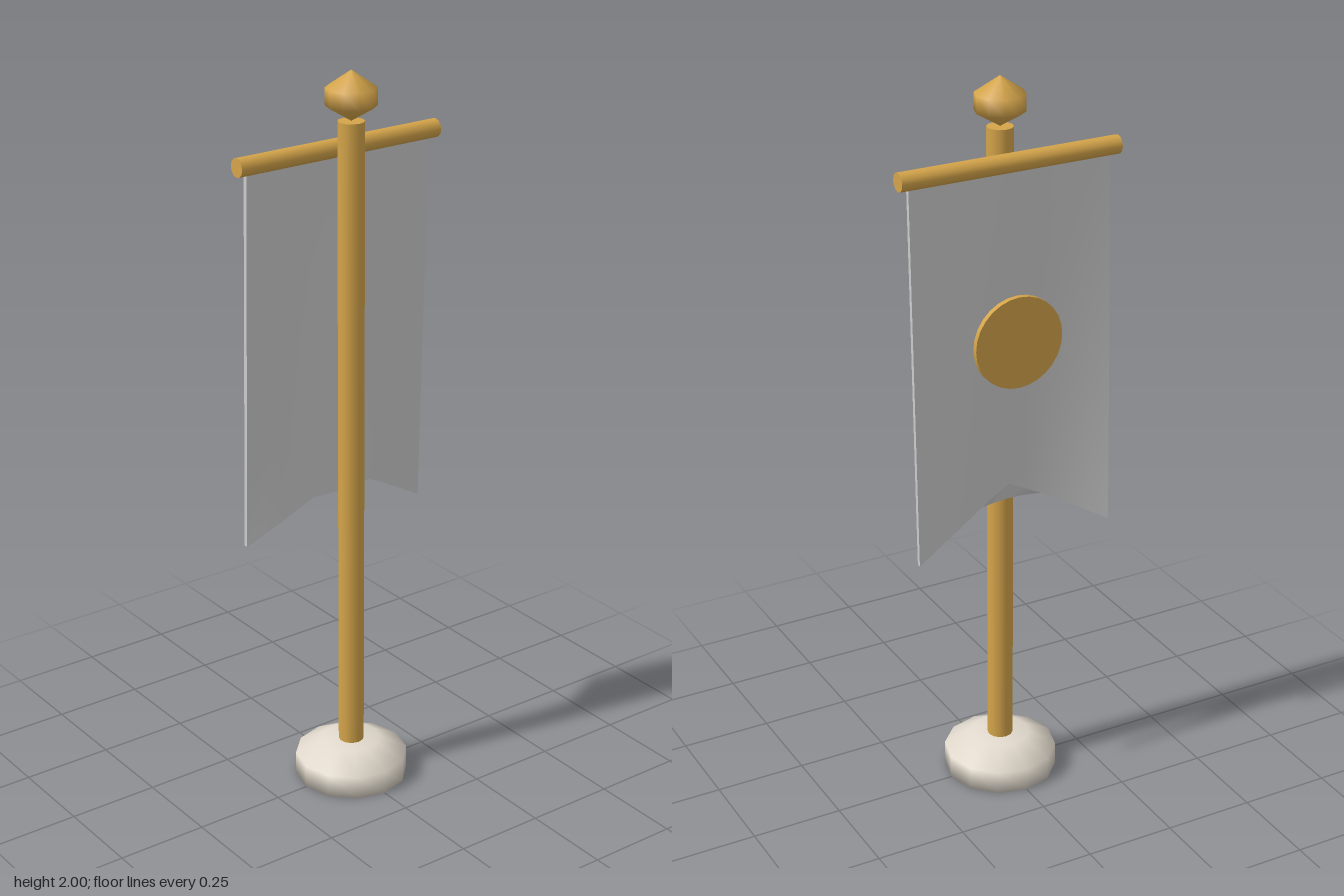
import * as THREE from 'three';

const gold = new THREE.MeshStandardMaterial({ color: 0xd4a44a });
const stone = new THREE.MeshStandardMaterial({ color: 0xe2dacd });
const grey = new THREE.MeshStandardMaterial({ color: 0xcccccc, side: THREE.DoubleSide });

function lathe(profile, sides) {
  return new THREE.LatheGeometry(profile.map(([r, y]) => new THREE.Vector2(r, y)), sides);
}

// Thin cloth slab: swallow-tail hem, corners drifting back, middle resting on the pole
function clothGeometry() {
  const half = 0.285, top = 1.79;
  const geo = new THREE.BoxGeometry(2 * half, 1, 0.012, 12, 10, 1);
  const p = geo.attributes.position;
  for (let i = 0; i < p.count; i++) {
    const x = p.getX(i), a = Math.abs(x), t = 0.5 - p.getY(i), back = p.getZ(i) < 0;
    let hem = 0.85 - 0.105 * Math.max(0, (a - 0.1) / (half - 0.1));
    if (back) hem += 0.05 * Math.max(0, 1 - a / 0.1);
    const e = (a / half) ** 2;
    const bulge = x > 0 ? 0.012 * Math.sin(Math.PI * a / half) : 0;
    const z = -0.053 - t * (0.029 * e + bulge) + t * t * 0.012 * (1 - e);
    p.setXYZ(i, x, top + (hem - top) * t, z + p.getZ(i));
  }
  geo.computeVertexNormals();
  return geo;
}

export function createModel() {
  const model = new THREE.Group();
  const add = (name, geo, mat, x = 0, y = 0, z = 0) => {
    const mesh = new THREE.Mesh(geo, mat);
    mesh.name = name;
    mesh.position.set(x, y, z);
    model.add(mesh);
    return mesh;
  };

  // Stand
  add('base', lathe([[0, 0], [0.155, 0], [0.155, 0.065], [0.08, 0.105], [0, 0.105]], 12), stone);
  add('pole', new THREE.CylinderGeometry(0.035, 0.035, 1.79, 12), gold, 0, 0.975);
  const finial = add('finial',
    lathe([[0, 1.87], [0.066, 1.91], [0.066, 1.955], [0, 2]], 10), gold);
  finial.rotation.y = Math.PI / 2;

  // Banner hung behind the pole
  const bar = add('crossbar', new THREE.CylinderGeometry(0.025, 0.025, 0.62, 12), gold, 0, 1.79, -0.053);
  bar.rotation.z = Math.PI / 2;
  add('cloth', clothGeometry(), grey);
  const disc = add('disc', new THREE.CylinderGeometry(0.125, 0.125, 0.015, 28), gold, 0, 1.325, -0.0965);
  disc.rotation.x = -Math.PI / 2;

  return model;
}
